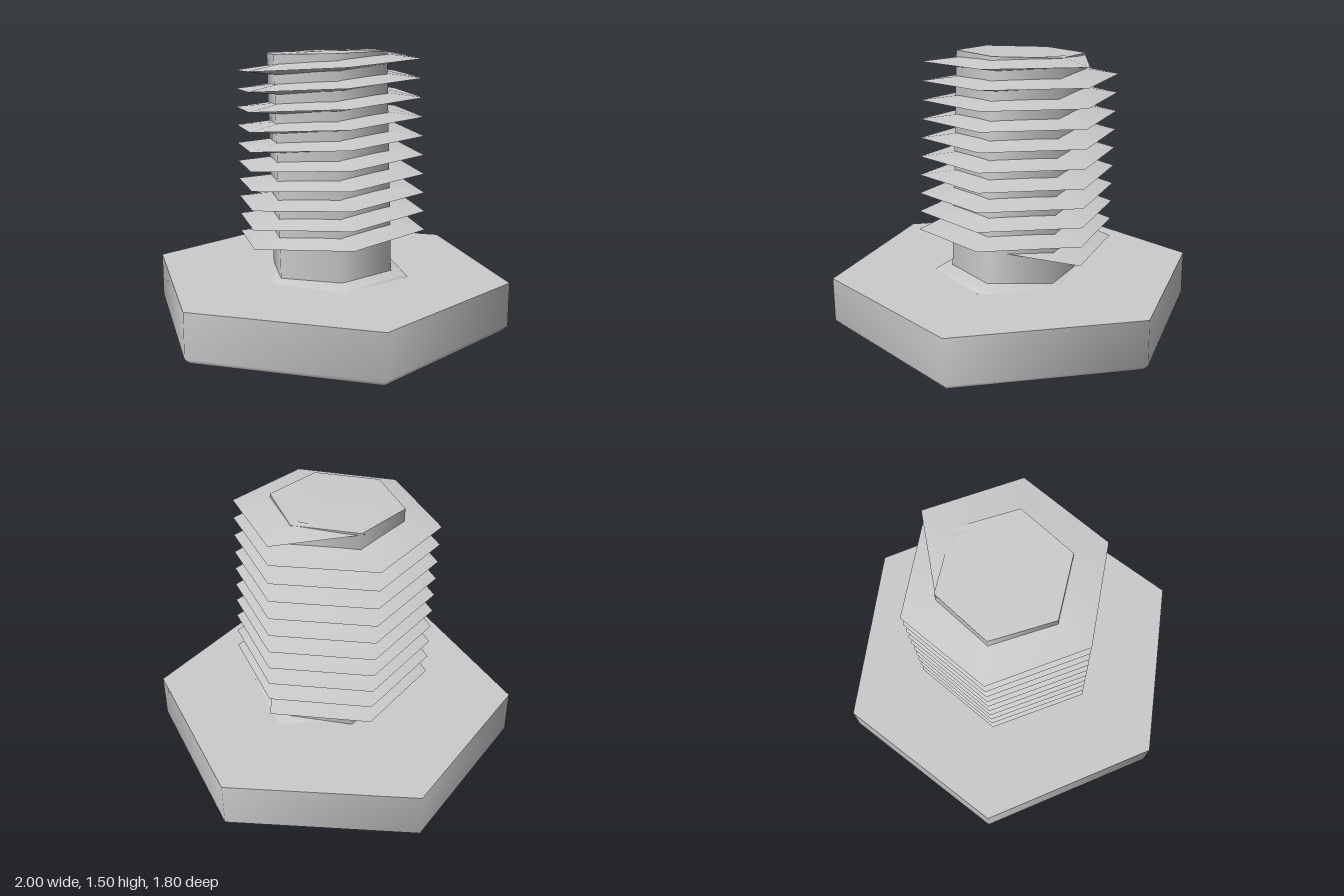
import * as THREE from 'three';

const material = new THREE.MeshStandardMaterial({ color: 0xcccccc });
const SIDES = 6;

// Six-sided turned body; a repeated profile point makes a sharp edge.
// turn is the angle of the first corner, measured from +x towards +z.
function hexLathe(name, profile, turnDegrees) {
  const points = profile.map(([r, y]) => new THREE.Vector2(r, y));
  const start = Math.PI / 2 - THREE.MathUtils.degToRad(turnDegrees);
  const mesh = new THREE.Mesh(new THREE.LatheGeometry(points, SIDES, start), material);
  mesh.name = name;
  return mesh;
}

// Sharp triangular fin wound six steps per turn, tapering into the shaft at both ends.
function threadGeometry({ turns, pitch, startY, tipRadius, rootRadius, halfThickness }) {
  const last = turns * SIDES;
  const upper = [], lower = [], index = [];
  for (let i = -1; i <= last + 1; i++) {
    const a = (-i * Math.PI * 2) / SIDES;
    const isStart = i < 0, isEnd = i > last;
    const y = startY + (i * pitch) / SIDES + (isStart ? 0.035 : 0);
    const tip = isStart ? 0.31 : isEnd ? 0.345 : tipRadius;
    const half = isStart || isEnd ? 0.004 : halfThickness;
    const at = (r, h) => [r * Math.cos(a), h, r * Math.sin(a)];
    upper.push(...at(tip, y), ...at(rootRadius, y + half));
    lower.push(...at(tip, y), ...at(rootRadius, y - half));
  }
  const rings = last + 3;
  const offset = rings * 2;
  for (let k = 0; k < rings - 1; k++) {
    const t = k * 2, b = t + 1, t2 = t + 2, b2 = t + 3;
    index.push(t, t2, b2, t, b2, b);
    index.push(offset + t, offset + b2, offset + t2, offset + t, offset + b, offset + b2);
  }
  const geometry = new THREE.BufferGeometry();
  geometry.setAttribute('position', new THREE.Float32BufferAttribute([...upper, ...lower], 3));
  geometry.setIndex(index);
  geometry.computeVertexNormals();
  return geometry;
}

export function createModel() {
  const model = new THREE.Group();
  model.name = 'bolt';

  // Flat hexagonal head with a small bevel around the bottom
  const head = hexLathe('head', [
    [0, 0], [0.98, 0], [0.98, 0], [1.012, 0.03], [1.012, 0.275], [1.012, 0.275], [0, 0.275],
  ], -2.8);
  head.position.y = 0.005;
  head.rotation.x = 0.005;
  head.scale.x = 0.99;
  model.add(head);

  // Shaft and thread lean back slightly
  const stem = new THREE.Group();
  stem.name = 'stem';
  stem.position.set(0.018, 0.28, 0.012);
  stem.rotation.x = -0.038;
  model.add(stem);

  // Shaft with a low flare at the foot and a softly shaded end
  stem.add(hexLathe('shaft', [
    [0.45, -0.02], [0.43, -0.002], [0.36, 0.007], [0.351, 0.012], [0.351, 0.012],
    [0.347, 1.207], [0.347, 1.207], [0, 1.211],
  ], 3));

  const thread = new THREE.Mesh(threadGeometry({
    turns: 10, pitch: 0.102, startY: 0.16, tipRadius: 0.537, rootRadius: 0.3, halfThickness: 0.032,
  }), material);
  thread.name = 'thread';
  stem.add(thread);

  return model;
}
